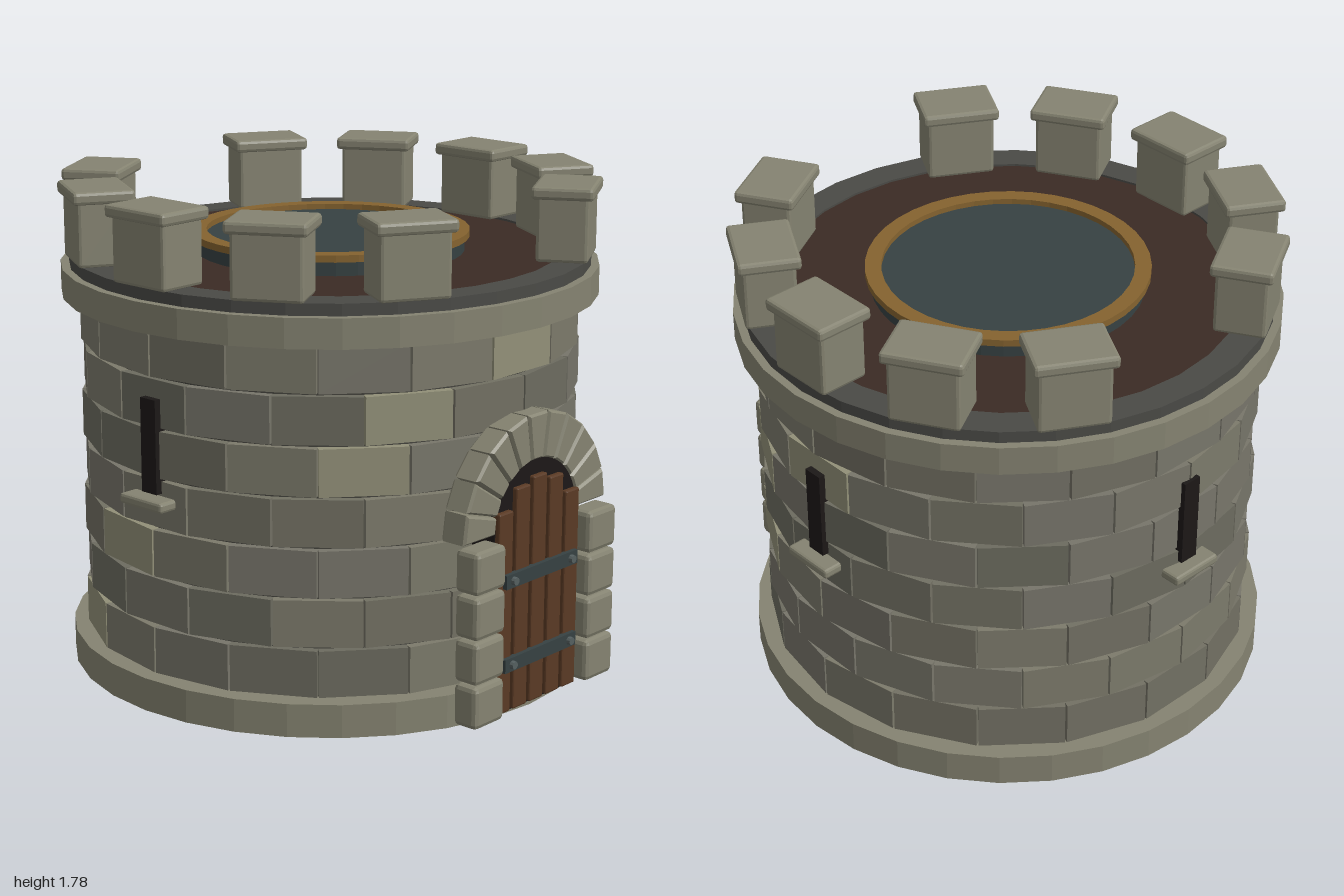
import * as THREE from 'three';
import { RoundedBoxGeometry } from 'three/addons/geometries/RoundedBoxGeometry.js';

const mat = (color) => new THREE.MeshStandardMaterial({ color, flatShading: true });
const stone = mat(0x858371);
const shades = [0x78766a, 0x727063, 0x7c7a6b, 0x6c6b5f, 0x77756a, 0x929078].map(mat);
const mortar = mat(0x45443e);
const parapetGrey = mat(0x4a4a46);
const deckBrown = mat(0x3b2b24);
const slate = mat(0x364142);
const brass = mat(0x85632f);
const wood = mat(0x5a3a24);
const black = mat(0x1c1817);

function add(parent, name, geometry, material, x = 0, y = 0, z = 0) {
  const mesh = new THREE.Mesh(geometry, material);
  mesh.name = name;
  mesh.position.set(x, y, z);
  parent.add(mesh);
  return mesh;
}

// A box with chamfered edges
const chamferBox = (w, h, d, r) => new RoundedBoxGeometry(w, h, d, 1, r);

// Upright drum between two heights
function drum(parent, name, radius, y0, y1, material, sides = 32) {
  return add(parent, name, new THREE.CylinderGeometry(radius, radius, y1 - y0, sides), material, 0, (y0 + y1) / 2);
}

// Ring with a rectangular section
function ring(parent, name, inner, outer, y0, y1, material, sides) {
  const profile = [[inner, y0], [outer, y0], [outer, y1], [inner, y1], [inner, y0]]
    .map(([r, y]) => new THREE.Vector2(r, y));
  return add(parent, name, new THREE.LatheGeometry(profile, sides), material);
}

// Group turned around the tower axis; its own +z points outwards
function spoke(parent, name, degrees) {
  const group = new THREE.Group();
  group.name = name;
  group.rotation.y = THREE.MathUtils.degToRad(degrees);
  parent.add(group);
  return group;
}

// Small seeded generator for the stone shades
function seeded(seed) {
  return () => {
    seed = (seed * 16807) % 2147483647;
    return seed / 2147483647;
  };
}

function buildWall(tower) {
  drum(tower, 'mortarCore', 0.87, 0.1, 1.38, mortar, 36);
  const random = seeded(71);
  const courses = 7, perCourse = 18, pitch = 0.1785;
  const width = 2 * 0.89 * Math.tan(Math.PI / perCourse) - 0.008;
  const block = new THREE.BoxGeometry(width, pitch - 0.011, 0.06);
  for (let row = 0; row < courses; row++) {
    const course = new THREE.Group();
    course.name = 'stoneCourse';
    tower.add(course);
    for (let i = 0; i < perCourse; i++) {
      const pick = random();
      const shade = pick > 0.92 ? shades[5] : shades[Math.floor(pick / 0.92 * 5)];
      const s = spoke(course, 'wallStone', (i + (row % 2) / 2) * 20);
      add(s, 'wallStoneBlock', block, shade, 0, 0.12 + (row + 0.5) * pitch, 0.86);
    }
  }
}

function buildTop(tower) {
  drum(tower, 'cornice', 0.97, 1.365, 1.47, stone);
  ring(tower, 'parapetRing', 0.83, 0.94, 1.46, 1.512, parapetGrey, 32);
  drum(tower, 'roofDeck', 0.835, 1.46, 1.504, deckBrown);
  drum(tower, 'hatchCurb', 0.485, 1.5, 1.56, slate, 40);
  ring(tower, 'hatchRim', 0.445, 0.503, 1.555, 1.58, brass, 40);

  // Merlons, left out over the door and opposite it
  const body = chamferBox(0.25, 0.235, 0.185, 0.012);
  const cap = chamferBox(0.285, 0.045, 0.22, 0.012);
  for (let i = 0; i < 12; i++) {
    if (i % 6 === 0) continue;
    const s = spoke(tower, 'merlon', i * 30);
    add(s, 'merlonBody', body, stone, 0, 1.628, 0.855);
    add(s, 'merlonCap', cap, stone, 0, 1.757, 0.855);
  }
}

function buildSlits(tower) {
  for (const degrees of [90, 180, 270]) {
    const s = spoke(tower, 'arrowSlit', degrees);
    add(s, 'slitOpening', new THREE.BoxGeometry(0.072, 0.335, 0.045), black, 0, 0.953, 0.8925);
    add(s, 'slitSill', chamferBox(0.205, 0.037, 0.09, 0.01), stone, 0, 0.758, 0.915);
  }
}

function buildDoor(parent) {
  const door = new THREE.Group();
  door.name = 'doorway';
  parent.add(door);
  const springY = 0.678, inner = 0.225, outer = 0.39;

  // Dark arched backing
  const arch = new THREE.Shape();
  arch.moveTo(-inner, 0.02);
  arch.lineTo(inner, 0.02);
  arch.lineTo(inner, springY);
  arch.absarc(0, springY, inner, 0, Math.PI, false);
  arch.closePath();
  add(door, 'doorRecess', new THREE.ExtrudeGeometry(arch, { depth: 0.098, bevelEnabled: false, curveSegments: 20 }),
    black, 0, 0, 0.84);

  // Arch stones
  const count = 11, half = Math.PI / count / 2 - 0.008;
  const polar = (r, a) => new THREE.Vector2(r * Math.sin(a), r * Math.cos(a));
  const wedge = new THREE.Shape([polar(inner, -half), polar(inner, half), polar(outer, half), polar(outer, -half)]);
  const wedgeGeometry = new THREE.ExtrudeGeometry(wedge,
    { depth: 0.085, bevelSize: 0.008, bevelOffset: -0.008, bevelThickness: 0.01, bevelSegments: 1 });
  for (let i = 0; i < count; i++) {
    const m = add(door, 'archStone', wedgeGeometry, stone, 0, springY, 0.85);
    m.rotation.z = ((i + 0.5) / count - 0.5) * Math.PI;
  }

  // Jamb stones
  const jamb = chamferBox(0.157, 0.153, 0.1, 0.018);
  for (const side of [-1, 1]) {
    for (let i = 0; i < 4; i++) add(door, 'jambStone', jamb, stone, side * 0.309, 0.108 + i * 0.16, 0.95);
  }

  // Planks, shorter towards the sides
  [0.755, 0.828, 0.85, 0.828, 0.755].forEach((top, i) => {
    const h = top - 0.026;
    add(door, 'doorPlank', chamferBox(0.075, h, 0.035, 0.006), wood, (i - 2) * 0.0915, 0.026 + h / 2, 0.94);
  });

  // Iron straps with rivets
  const rivet = new THREE.CylinderGeometry(0.014, 0.016, 0.02, 10);
  for (const y of [0.205, 0.51]) {
    add(door, 'doorStrap', new THREE.BoxGeometry(0.395, 0.05, 0.022), slate, 0, y, 0.963);
    for (const x of [-0.16, 0.16]) {
      add(door, 'strapRivet', rivet, mat(0x555f60), x, y, 0.978).rotation.x = Math.PI / 2;
    }
  }
}

export function createModel() {
  const model = new THREE.Group();
  model.name = 'castleTower';
  const tower = new THREE.Group();
  tower.name = 'tower';
  tower.position.z = -0.025;
  model.add(tower);

  drum(tower, 'basePlinth', 0.955, 0, 0.12, stone);
  buildWall(tower);
  buildTop(tower);
  buildSlits(tower);
  buildDoor(model);
  return model;
}
